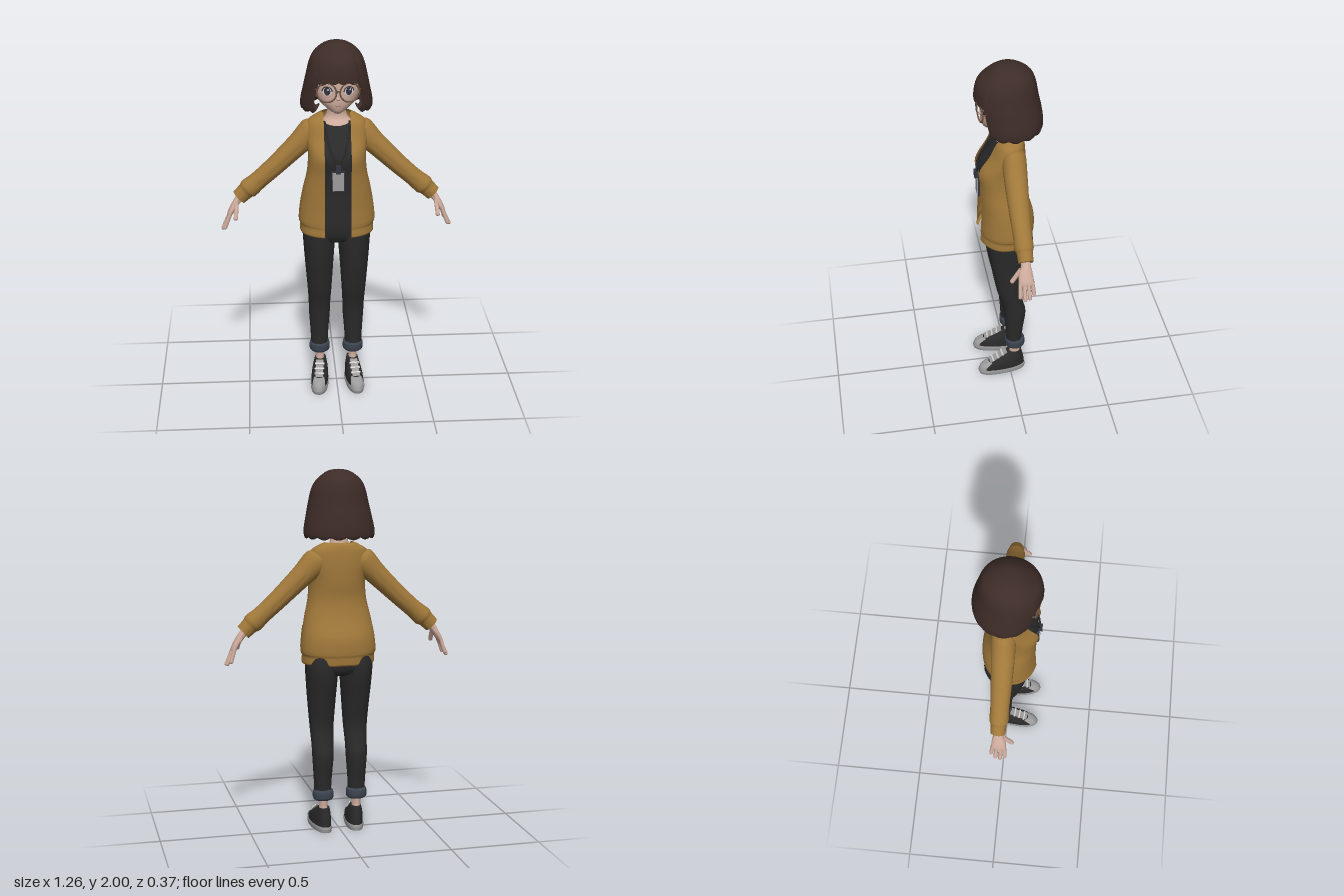
import * as THREE from 'three';
import { toCreasedNormals } from 'three/addons/utils/BufferGeometryUtils.js';

const mat = (name, color, side = THREE.DoubleSide) => {
  const m = new THREE.MeshStandardMaterial({ color, side });
  m.name = name;
  return m;
};

// Surface from a rule fn(u, v) -> [x, y, z]; u runs round, v runs downwards
function grid(cols, rows, fn, crease = 1.0) {
  const pos = [], idx = [], w = cols + 1;
  for (let i = 0; i <= rows; i++)
    for (let j = 0; j <= cols; j++) pos.push(...fn(j / cols, i / rows));
  for (let i = 0; i < rows; i++)
    for (let j = 0; j < cols; j++) {
      const a = i * w + j, b = a + w;
      idx.push(a, b, b + 1, a, b + 1, a + 1);
    }
  const g = new THREE.BufferGeometry();
  g.setAttribute('position', new THREE.Float32BufferAttribute(pos, 3));
  g.setIndex(idx);
  return toCreasedNormals(g, crease);
}

// Smooth sample of a list of rings [y, halfWidth, zFront, zBack, xCentre]
function sample(rings, t) {
  const n = rings.length - 1, f = Math.min(Math.max(t, 0), 1) * n;
  const k = Math.min(Math.floor(f), n - 1), s = f - k;
  const at = (i, c) => rings[Math.min(Math.max(i, 0), n)][c] || 0;
  return [0, 1, 2, 3, 4].map((c) => {
    const p0 = at(k - 1, c), p1 = at(k, c), p2 = at(k + 1, c), p3 = at(k + 2, c);
    return p1 + 0.5 * s * (p2 - p0 + s * (2 * p0 - 5 * p1 + 4 * p2 - p3 + s * (3 * (p1 - p2) + p3 - p0)));
  });
}

function onRing([y, rx, zf, zb, cx], a, e = 1, grow = 0, k = 1) {
  const p = (v) => Math.sign(v) * Math.abs(v) ** e;
  return [cx + (rx + grow) * k * p(Math.sin(a)), y, (zf + zb) / 2 + ((zf - zb) / 2 + grow) * k * p(Math.cos(a))];
}

// Stack of rings from top to bottom, optionally an arc or with a front gap
function loft(rings, { seg = 32, sub = 5, a0 = 0, a1 = Math.PI * 2, gap = 0, e = 1, grow = 0, cap = true } = {}) {
  const n = (rings.length - 1) * sub, c = cap ? 1 : 0;
  return grid(seg, n + 2 * c, (u, v) => {
    const r = Math.round(v * (n + 2 * c)) - c;
    const ring = sample(rings, r / n);
    const g = gap ? Math.asin(Math.min(1, gap / ring[1]) ** (1 / e)) : 0;
    return onRing(ring, a0 + g + u * (a1 - a0 - 2 * g), e, grow, r < 0 || r > n ? 0 : 1);
  });
}

export function createModel() {
  const root = new THREE.Group();
  root.name = 'woman';
  const hair = mat('dark brown hair', 0x3d2c27), wool = mat('mustard wool', 0xa0783a);
  const black = mat('charcoal cloth', 0x2a2a2b), skin = mat('skin', 0xcfac9d);
  const grey = mat('light grey', 0x9c9c9c), denim = mat('denim lining', 0x3b434f);
  const frame = mat('glasses frame', 0x6a5240), white = mat('eye white', 0xd6d2d0);
  const iris = mat('iris', 0x33343f), lip = mat('lips', 0xa87568);

  const add = (parent, name, geo, m, x = 0, y = 0, z = 0, rx = 0, ry = 0, rz = 0) => {
    const mesh = new THREE.Mesh(geo, m);
    mesh.name = name;
    mesh.position.set(x, y, z);
    mesh.rotation.set(rx, ry, rz);
    parent.add(mesh);
    return mesh;
  };
  const part = (name, parent = root) => {
    const g = new THREE.Group();
    g.name = name;
    parent.add(g);
    return g;
  };
  const bone = (p, q, r) => new THREE.TubeGeometry(
    new THREE.LineCurve3(new THREE.Vector3(...p), new THREE.Vector3(...q)), 1, r, 8);

  // Head and neck
  const head = part('head');
  add(head, 'face', loft([[1.91, 0.09, 0.09, -0.09], [1.87, 0.12, 0.125, -0.115], [1.81, 0.13, 0.14, -0.12],
    [1.75, 0.125, 0.14, -0.1], [1.695, 0.096, 0.138, -0.06], [1.655, 0.052, 0.128, -0.02], [1.638, 0.022, 0.112, 0.03]]), skin);
  add(head, 'nose', new THREE.SphereGeometry(0.01, 10, 8), skin, 0, 1.725, 0.139);
  add(head, 'mouth', new THREE.BoxGeometry(0.028, 0.004, 0.006), lip, 0, 1.686, 0.136);
  add(head, 'neck', loft([[1.7, 0.048, 0.04, -0.055], [1.63, 0.048, 0.034, -0.055], [1.59, 0.06, 0.036, -0.06],
    [1.56, 0.085, 0.058, -0.065], [1.51, 0.1, 0.085, -0.07]]), skin);

  // Bobbed hair: one shell with a short fringe over the face and a tucked scalloped hem
  const bob = [[2, 0, 0.002, -0.002], [1.99, 0.058, 0.055, -0.062], [1.95, 0.113, 0.112, -0.123],
    [1.9, 0.143, 0.157, -0.147], [1.82, 0.163, 0.172, -0.162], [1.75, 0.178, 0.168, -0.177],
    [1.68, 0.191, 0.158, -0.186], [1.635, 0.182, 0.145, -0.178], [1.67, 0.125, 0.11, -0.125]];
  add(head, 'hair', grid(144, 44, (u, v) => {
    const a = (u - 0.5) * Math.PI * 2 + Math.PI, d = Math.min(a, Math.PI * 2 - a);
    const side = THREE.MathUtils.smoothstep(d, 0.66, 0.82);
    const fringe = 0.485 + 0.04 * d + 0.025 * Math.abs(Math.sin(d * 8 + 0.6));
    const t = v * (fringe + (1 - fringe) * side);
    const p = onRing(sample(bob, t), a);
    if (t > 0.78) p[1] += 0.016 * (1 - Math.abs(Math.sin(d * 7))) * Math.min(1, (t - 0.78) * 10);
    return p;
  }), hair);

  // Eyes and round glasses
  for (const s of [1, -1]) {
    const eye = part(s > 0 ? 'leftEye' : 'rightEye', head);
    eye.position.set(s * 0.056, 1.766, 0.1305);
    eye.rotation.y = s * 0.4;
    add(eye, 'eyeWhite', new THREE.CircleGeometry(0.027, 24), white).scale.y = 0.85;
    add(eye, 'irisDisc', new THREE.CircleGeometry(0.018, 20), iris, 0, 0, 0.002).scale.y = 1.2;
    add(eye, 'eyeShine', new THREE.CircleGeometry(0.005, 10), white, 0.006, 0.009, 0.004);
    add(eye, 'lashes', new THREE.TorusGeometry(0.027, 0.003, 6, 16, Math.PI), iris).scale.y = 0.88;
    add(head, 'lensRim', new THREE.TorusGeometry(0.051, 0.0042, 8, 36), frame, s * 0.06, 1.764, 0.15, 0, s * 0.15, 0);
    add(head, 'temple', bone([s * 0.111, 1.775, 0.143], [s * 0.134, 1.785, 0.02], 0.004), frame);
  }
  add(head, 'glassesBridge', bone([-0.012, 1.772, 0.157], [0.012, 1.772, 0.157], 0.004), frame);

  // Shirt and hips
  const torso = part('torso');
  add(torso, 'shirt', loft([[1.565, 0.09, 0.045, -0.066], [1.545, 0.105, 0.07, -0.07], [1.49, 0.13, 0.102, -0.078],
    [1.4, 0.138, 0.153, -0.08], [1.3, 0.135, 0.14, -0.072], [1.2, 0.14, 0.13, -0.085],
    [1.12, 0.155, 0.13, -0.11], [1.085, 0.16, 0.13, -0.115]], { e: 0.9 }), black);
  add(torso, 'hips', loft([[1.12, 0.15, 0.118, -0.105], [1.05, 0.17, 0.122, -0.125], [0.97, 0.182, 0.12, -0.13],
    [0.91, 0.16, 0.1, -0.115], [0.885, 0.09, 0.06, -0.07]], { e: 0.9 }), black);

  // Open cardigan with a ribbed hem
  const coat = part('cardigan');
  add(coat, 'cardiganBody', loft([[1.612, 0.078, 0.03, -0.068], [1.598, 0.11, 0.045, -0.078], [1.565, 0.155, 0.075, -0.086],
    [1.49, 0.165, 0.112, -0.093], [1.4, 0.155, 0.17, -0.092], [1.3, 0.161, 0.161, -0.084], [1.2, 0.183, 0.157, -0.103],
    [1.1, 0.2, 0.158, -0.138], [1.02, 0.207, 0.162, -0.143], [0.995, 0.199, 0.161, -0.138], [0.955, 0.2, 0.165, -0.135],
    [0.95, 0.188, 0.152, -0.125]], { gap: 0.071, e: 0.9, seg: 48, cap: false }), wool);
  for (const s of [1, -1]) {
    const mid = s * 0.9;
    add(coat, 'pocket', loft([[1.15, 0.192, 0.158, -0.122], [1.1, 0.2, 0.158, -0.138], [1.03, 0.206, 0.161, -0.143]],
      { a0: mid - 0.3, a1: mid + 0.3, e: 0.9, grow: 0.006, cap: false, seg: 10 }), wool);
  }

  // Name badge on a lanyard
  const badge = part('badge');
  for (const s of [1, -1])
    add(badge, 'lanyard', new THREE.TubeGeometry(new THREE.CatmullRomCurve3([[0.066, 1.58, 0.05], [0.055, 1.5, 0.1],
      [0.03, 1.42, 0.152], [0, 1.355, 0.163]].map(([x, y, z]) => new THREE.Vector3(s * x, y, z))), 14, 0.005, 6), black);
  add(badge, 'clip', new THREE.BoxGeometry(0.026, 0.045, 0.016), iris, 0, 1.348, 0.168);
  add(badge, 'badgeBack', new THREE.BoxGeometry(0.07, 0.112, 0.01), iris, 0, 1.277, 0.156);
  add(badge, 'badgeCard', new THREE.BoxGeometry(0.06, 0.1, 0.006), grey, 0, 1.277, 0.163);

  for (const s of [1, -1]) {
    const sideName = s > 0 ? 'left' : 'right';

    // Arm, built hanging down and swung outwards
    const arm = part(sideName + 'Arm');
    arm.scale.x = s;
    const limb = part('armParts', arm);
    limb.position.set(0.12, 1.5, -0.008);
    limb.rotation.z = 0.824;
    add(limb, 'sleeve', loft([[0.035, 0.05, 0.045, -0.06, 0.008], [0, 0.074, 0.056, -0.07, 0.012], [-0.1, 0.062, 0.058, -0.066, 0.01],
      [-0.2, 0.056, 0.056, -0.06, 0.008], [-0.3, 0.052, 0.053, -0.055, 0.007], [-0.4, 0.05, 0.049, -0.05, 0.009],
      [-0.47, 0.055, 0.051, -0.05, 0.012], [-0.495, 0.047, 0.042, -0.042, 0.013], [-0.545, 0.043, 0.04, -0.04, 0.012]], { seg: 24 }), wool);
    add(limb, 'palm', loft([[-0.52, 0.024, 0.028, -0.026, 0.01], [-0.56, 0.021, 0.028, -0.024, 0.006],
      [-0.6, 0.019, 0.042, -0.03, -0.004], [-0.64, 0.016, 0.046, -0.033, -0.016], [-0.66, 0.012, 0.042, -0.03, -0.024]], { seg: 18 }), skin);
    [[-0.024, -0.7], [-0.004, -0.722], [0.017, -0.728], [0.037, -0.712]].forEach(([z, end], i) => {
      const tip = [-0.052, end, z * 1.2 - 0.002];
      add(limb, 'finger' + (i + 1), bone([-0.017, -0.64, z], tip, 0.0105), skin);
      add(limb, 'fingertip' + (i + 1), new THREE.SphereGeometry(0.0105, 8, 6), skin, ...tip);
    });
    add(limb, 'thumb', bone([0, -0.575, 0.028], [-0.045, -0.625, 0.074], 0.012), skin);
    add(limb, 'thumbTip', new THREE.SphereGeometry(0.012, 8, 6), skin, -0.045, -0.625, 0.074);

    // Trouser leg with a turned-up cuff
    const leg = part(sideName + 'Leg');
    leg.scale.x = s;
    add(leg, 'trouserLeg', loft([[1.0, 0.086, 0.115, -0.12, 0.094], [0.94, 0.09, 0.117, -0.128, 0.096], [0.86, 0.086, 0.112, -0.118, 0.096],
      [0.75, 0.078, 0.1, -0.092, 0.096], [0.6, 0.067, 0.072, -0.06, 0.095], [0.5, 0.061, 0.044, -0.076, 0.095],
      [0.43, 0.059, 0.034, -0.09, 0.095], [0.3, 0.05, 0.024, -0.074, 0.096], [0.21, 0.046, 0.02, -0.066, 0.096]], { seg: 28 }), black);
    add(leg, 'trouserCuff', loft([[0.24, 0.046, 0.018, -0.074, 0.095], [0.232, 0.056, 0.027, -0.084, 0.095],
      [0.195, 0.057, 0.027, -0.086, 0.095], [0.182, 0.047, 0.017, -0.074, 0.095]], { seg: 28 }), denim);
    add(leg, 'ankle', loft([[0.21, 0.026, 0.002, -0.06, 0.094], [0.15, 0.024, 0, -0.058, 0.094], [0.09, 0.027, 0.012, -0.062, 0.094]], { seg: 16 }), skin);

    // Canvas shoe, toes turned slightly out
    const shoe = part(sideName + 'Shoe', leg);
    shoe.position.x = 0.094;
    shoe.rotation.y = 0.1;
    add(shoe, 'sole', loft([[0.032, 0.05, 0.184, -0.09], [0.018, 0.051, 0.187, -0.092], [0, 0.048, 0.18, -0.088]], { e: 0.85 }), grey);
    add(shoe, 'upper', loft([[0.135, 0.031, 0.018, -0.068], [0.115, 0.036, 0.05, -0.072], [0.09, 0.042, 0.095, -0.078],
      [0.065, 0.046, 0.152, -0.083], [0.03, 0.048, 0.178, -0.087]], { e: 0.88 }), black);
    add(shoe, 'toeCap', loft([[0.078, 0.036, 0.125, -0.05], [0.066, 0.045, 0.153, -0.08], [0.048, 0.049, 0.174, -0.087], [0.028, 0.05, 0.182, -0.088]],
      { a0: -0.72, a1: 0.72, e: 0.88, grow: 0.003, cap: false, seg: 16 }), grey);
    add(shoe, 'tongue', new THREE.BoxGeometry(0.042, 0.008, 0.115), grey, 0, 0.108, 0.07, 0.52);
    for (let i = 0; i < 3; i++)
      add(shoe, 'lace', new THREE.BoxGeometry(0.054, 0.008, 0.009), white, 0, 0.126 - i * 0.016, 0.046 + i * 0.028, 0.52);
  }
  return root;
}
